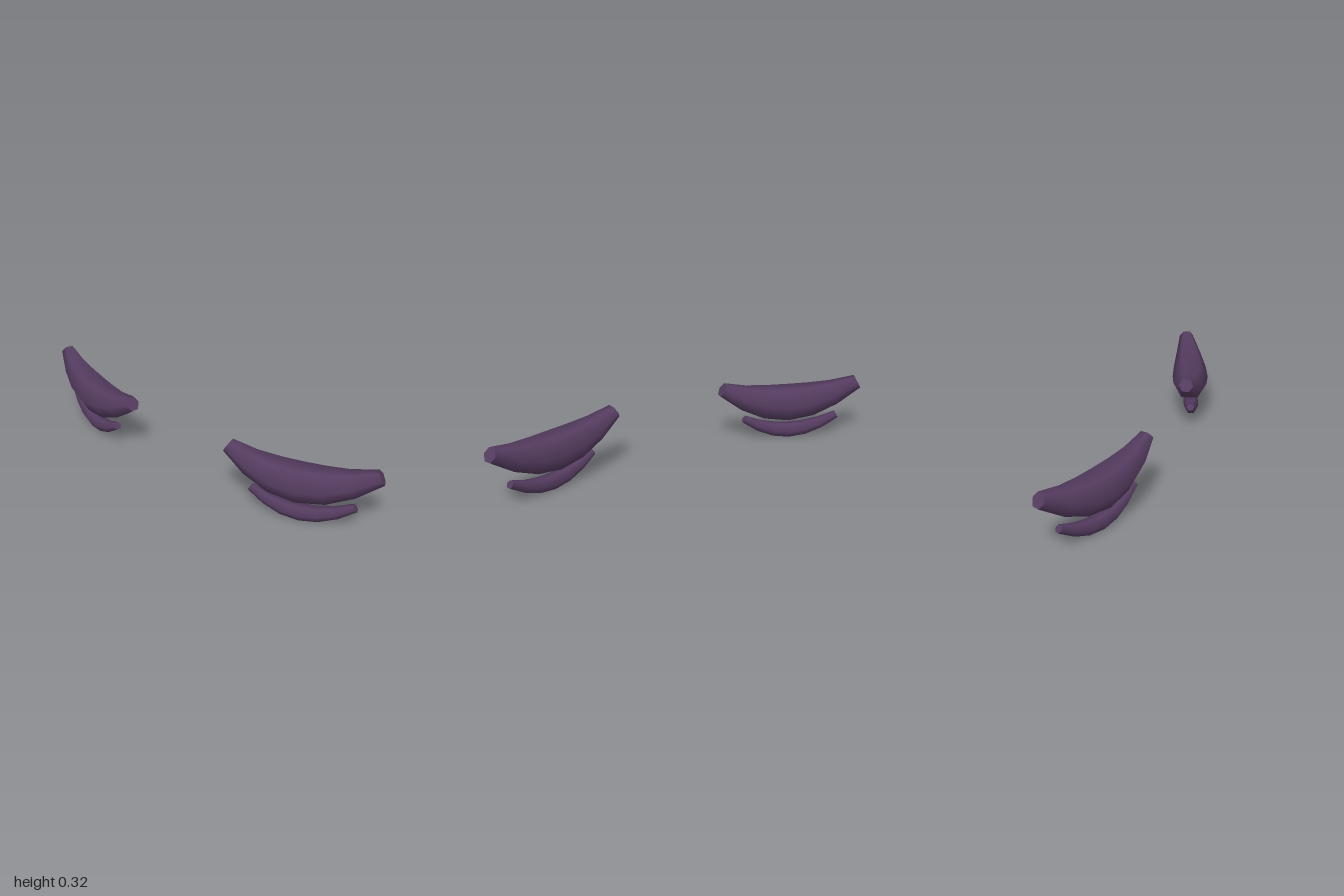
import * as THREE from 'three';

const material = new THREE.MeshStandardMaterial({ color: 0x553c60 });
const SIDES = 6, STEPS = 6;

// Sagging six-sided roll, thick in the middle, swept from its inner to its outer end
function roll(side, { inner, outer, sag, bow, endRadius, midRadius }) {
  const centre = (t) => {
    const arch = 4 * t * (1 - t);
    return new THREE.Vector3(
      side * THREE.MathUtils.lerp(inner[0], outer[0], t),
      THREE.MathUtils.lerp(inner[1], outer[1], t) - sag * arch,
      THREE.MathUtils.lerp(inner[2], outer[2], t) + bow * arch);
  };
  const geo = new THREE.CylinderGeometry(1, 1, 1, SIDES, STEPS, false, Math.PI / 2);
  const pos = geo.attributes.position;
  const p = new THREE.Vector3();
  for (let i = 0; i < pos.count; i++) {
    p.fromBufferAttribute(pos, i);
    const t = p.y + 0.5;
    const tangent = centre(t + 0.01).sub(centre(t - 0.01)).normalize();
    const across = tangent.clone().cross(new THREE.Vector3(0, 1, 0)).normalize();
    const up = across.clone().cross(tangent);
    const r = endRadius + (midRadius - endRadius) * Math.sin(Math.PI * t);
    const q = centre(t).addScaledVector(across, p.x * r).addScaledVector(up, p.z * r);
    pos.setXYZ(i, q.x, q.y, q.z);
  }
  geo.computeVertexNormals();

  // Smooth the normals across the seam
  const nor = geo.attributes.normal;
  const a = new THREE.Vector3(), b = new THREE.Vector3();
  for (let j = 0; j <= STEPS; j++) {
    const first = j * (SIDES + 1), last = first + SIDES;
    a.fromBufferAttribute(nor, first).add(b.fromBufferAttribute(nor, last)).normalize();
    nor.setXYZ(first, a.x, a.y, a.z);
    nor.setXYZ(last, a.x, a.y, a.z);
  }
  return new THREE.Mesh(geo, material);
}

export function createModel() {
  const model = new THREE.Group();
  model.name = 'eyeBags';
  const upper = {
    inner: [0.3, 0.294, 0.096], outer: [0.985, 0.294, -0.12],
    sag: 0.101, bow: 0.025, endRadius: 0.037, midRadius: 0.096,
  };
  const lower = {
    inner: [0.427, 0.113, 0.083], outer: [0.894, 0.113, -0.08],
    sag: 0.077, bow: 0.012, endRadius: 0.02, midRadius: 0.041,
  };
  for (const [name, side] of [['left', 1], ['right', -1]]) {
    const pair = new THREE.Group();
    pair.name = name + 'EyeBag';
    const top = roll(side, upper);
    top.name = name + 'UpperFold';
    const bottom = roll(side, lower);
    bottom.name = name + 'LowerFold';
    pair.add(top, bottom);
    model.add(pair);
  }
  return model;
}
